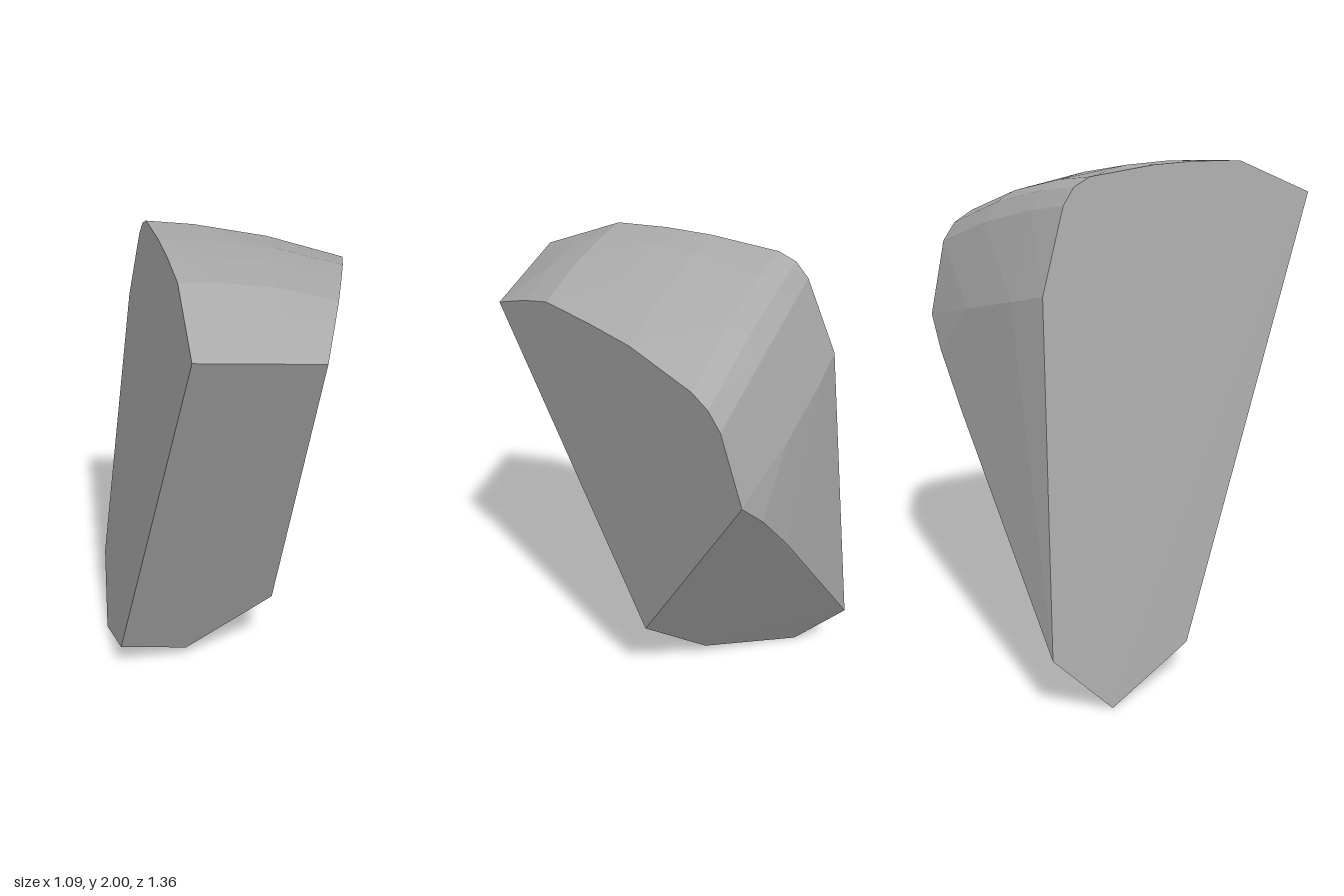
import * as THREE from 'three';
import { ConvexGeometry } from 'three/addons/geometries/ConvexGeometry.js';

// The two flat broken sides, as x for a given height and depth
const leftSideX = (y, z) => 0.12 + 0.179 * (y - 0.37) - 0.402 * (z - 0.02);
const rightSideX = (y, z) => -0.54 + 0.126 * (y - 0.16) - 0.043 * (z + 0.07);

export function createModel() {
  const group = new THREE.Group();
  group.name = 'rockShard';
  const stone = new THREE.MeshStandardMaterial({ color: 0xaaaaaa });
  stone.name = 'greyStone';

  // Lower corners and the long back edge
  const points = [
    [0.12, 0.37, 0.02],
    [-0.24, 0.063, -0.112],
    [-0.54, 0.16, -0.07],
    [-0.545, 0.003, -0.44],
    [-0.5, 0.268, -0.68],
    [0.2, 1.03, -0.615],
    [0.4, 1.236, -0.586],
  ].map((p) => new THREE.Vector3(...p));

  // Rounded crown, front to back: y and z on one side, y and z on the other, bulge in y and z
  const crown = [
    [1.84, 0.68, 1.76, 0.64, 0, 0],
    [1.925, 0.48, 1.822, 0.48, 0.025, 0],
    [1.985, 0.34, 1.86, 0.35, 0.025, 0],
    [2.0, 0.12, 1.848, 0.12, 0.03, 0],
    [2.0, -0.07, 1.83, -0.07, 0.03, 0],
    [1.98, -0.35, 1.755, -0.35, 0.03, 0],
    [1.95, -0.42, 1.71, -0.42, 0.03, -0.005],
    [1.89, -0.47, 1.64, -0.47, 0.025, -0.01],
    [1.59, -0.585, 1.35, -0.55, 0, -0.02],
  ];
  for (const [y0, z0, y1, z1, by, bz] of crown) {
    const a = new THREE.Vector3(rightSideX(y0, z0), y0, z0);
    const b = new THREE.Vector3(leftSideX(y1, z1), y1, z1);
    points.push(a, b);
    if (!by && !bz) continue;
    for (const t of [0.23, 0.6]) {
      const swell = 4 * t * (1 - t);
      const p = a.clone().lerp(b, t);
      p.y += by * swell;
      p.z += bz * swell;
      points.push(p);
    }
  }

  // One closed, flat-faceted stone
  const shard = new THREE.Mesh(new ConvexGeometry(points), stone);
  shard.name = 'stoneShard';
  group.add(shard);
  return group;
}
